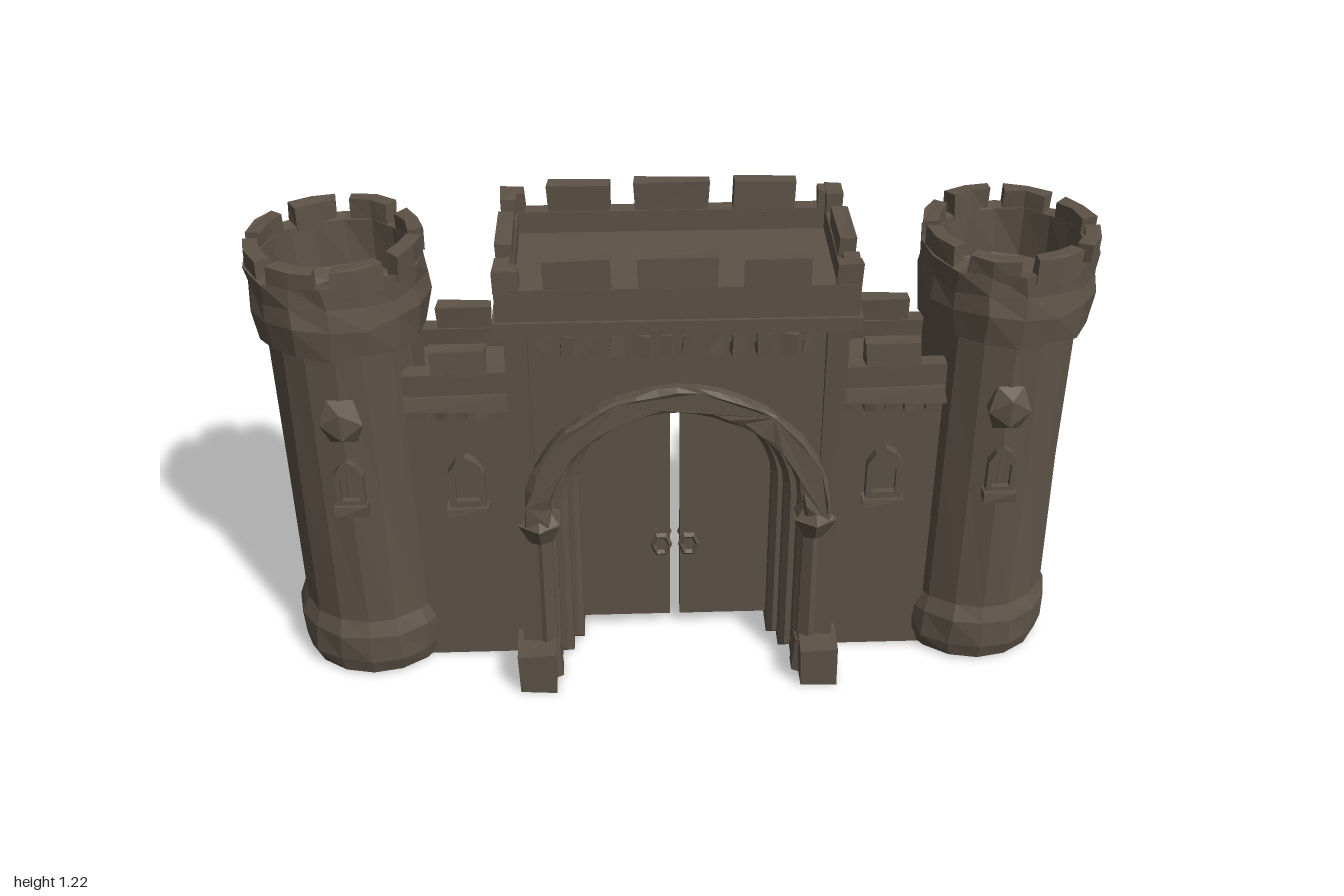
import * as THREE from 'three';

const stone = new THREE.MeshStandardMaterial({ color: 0x5d5247 });
stone.name = 'weathered stone';

// Repeatable noise from a position, so shared corners move together
const noise = (x, y, z, k) => {
  const v = Math.sin(Math.round(x * 500) * 12.9898 + Math.round(y * 500) * 78.233 + Math.round(z * 500) * 37.719 + k * 4.1) * 43758.5453;
  return (v - Math.floor(v)) * 2 - 1;
};
function chip(geo, amount, minY = -Infinity) {
  const p = geo.attributes.position;
  for (let i = 0; i < p.count; i++) {
    const [x, y, z] = [p.getX(i), p.getY(i), p.getZ(i)];
    if (y < minY) continue;
    p.setXYZ(i, x + amount * noise(x, y, z, 1), y + amount * noise(x, y, z, 2), z + amount * noise(x, y, z, 3));
  }
  return geo;
}

// Adds a faceted mesh
function add(parent, name, geo, x = 0, y = 0, z = 0) {
  const flat = geo.index ? geo.toNonIndexed() : geo;
  flat.computeVertexNormals();
  const mesh = new THREE.Mesh(flat, stone);
  mesh.name = name;
  mesh.position.set(x, y, z);
  parent.add(mesh);
  return mesh;
}

// Box given by its limits
function block(parent, name, x0, x1, y0, y1, z0, z1, rough = 0) {
  const geo = new THREE.BoxGeometry(x1 - x0, y1 - y0, z1 - z0);
  geo.translate((x0 + x1) / 2, (y0 + y1) / 2, (z0 + z1) / 2);
  return add(parent, name, rough ? chip(geo, rough) : geo);
}

// Extrusion centred on z = 0
function slab(shape, depth, bevel = 0) {
  const geo = new THREE.ExtrudeGeometry(shape, {
    depth, curveSegments: 12, bevelEnabled: bevel > 0, bevelSize: bevel, bevelThickness: bevel, bevelSegments: 1,
  });
  return geo.translate(0, 0, -depth / 2);
}

const SPRING = 0.5;
// Arch-shaped ring standing on y0
function archRing(rOut, rIn, y0) {
  const s = new THREE.Shape();
  s.moveTo(rOut, y0);
  s.lineTo(rOut, SPRING);
  s.absarc(0, SPRING, rOut, 0, Math.PI, false);
  s.lineTo(-rOut, y0);
  s.lineTo(-rIn, y0);
  s.lineTo(-rIn, SPRING);
  s.absarc(0, SPRING, rIn, Math.PI, 0, true);
  s.lineTo(rIn, y0);
  return s;
}

// Small pointed window with frame, pane and sill, facing +z
function addWindow(parent, w, h, x, y, z) {
  const g = new THREE.Group();
  g.name = 'window';
  const outline = (k, Type) => {
    const a = (w / 2) * k, b = (h / 2) * k;
    return new Type([[-a, -b], [a, -b], [a, b * 0.4], [a * 0.55, b * 0.8], [0, b], [-a * 0.55, b * 0.8], [-a, b * 0.4]]
      .map(([u, v]) => new THREE.Vector2(u, v)));
  };
  const frame = outline(1, THREE.Shape);
  frame.holes.push(outline(0.62, THREE.Path));
  add(g, 'windowFrame', slab(frame, 0.04));
  add(g, 'windowPane', slab(outline(0.7, THREE.Shape), 0.008));
  block(g, 'windowSill', -w * 0.58, w * 0.58, -h / 2 - 0.012, -h / 2 + 0.014, -0.02, 0.032, 0.003);
  g.position.set(x, y, z);
  parent.add(g);
}

function buildTower(side) {
  const g = new THREE.Group();
  g.name = side > 0 ? 'leftTower' : 'rightTower';
  // Hollow shaft with flared foot and overhanging head
  const profile = [
    [0.12, 0], [0.19, 0.005], [0.202, 0.05], [0.202, 0.125], [0.183, 0.17], [0.182, 0.56], [0.181, 0.955],
    [0.203, 0.955], [0.216, 1.035], [0.207, 1.085], [0.206, 1.14], [0.172, 1.14], [0.166, 1.02], [0.12, 1.0], [0.12, 0],
  ].map(([r, y]) => new THREE.Vector2(r, y));
  const body = chip(new THREE.LatheGeometry(profile, 16), 0.004, 0.02);
  add(g, 'towerBody', chip(body, 0.007, 0.93));
  // Curved merlons
  for (let i = 0; i < 8; i++) {
    const a0 = (i / 8) * Math.PI * 2 + 0.1, a1 = a0 + Math.PI / 4 - 0.2;
    const s = new THREE.Shape();
    for (let j = 0; j <= 2; j++) {
      const a = a0 + (a1 - a0) * j / 2;
      s[j ? 'lineTo' : 'moveTo'](0.206 * Math.cos(a), 0.206 * Math.sin(a));
    }
    for (let j = 2; j >= 0; j--) {
      const a = a0 + (a1 - a0) * j / 2;
      s.lineTo(0.171 * Math.cos(a), 0.171 * Math.sin(a));
    }
    const geo = new THREE.ExtrudeGeometry(s, { depth: 0.062 + 0.006 * noise(i, side, 3, 1), bevelEnabled: false });
    add(g, 'towerMerlon', chip(geo.rotateX(-Math.PI / 2), 0.003), 0, 1.122, 0);
  }
  // Boss and window on both faces
  for (const turn of [0, Math.PI]) {
    const face = new THREE.Group();
    face.name = turn ? 'towerBackDetails' : 'towerFrontDetails';
    face.rotation.y = turn;
    add(face, 'stoneBoss', new THREE.IcosahedronGeometry(0.06, 0).scale(1, 1.15, 0.65), 0, 0.78, 0.178);
    addWindow(face, 0.07, 0.14, 0, 0.605, 0.178);
    g.add(face);
  }
  g.position.x = side * 0.79;
  return g;
}

function buildWall(side) {
  const g = new THREE.Group();
  g.name = side > 0 ? 'leftWall' : 'rightWall';
  block(g, 'wallBody', -0.15, 0.13, 0, 0.82, -0.112, 0.112);
  for (const turn of [0, Math.PI]) {
    const face = new THREE.Group();
    face.name = 'wallFace';
    face.rotation.y = turn;
    block(face, 'wallCornice', -0.13, 0.13, 0.775, 0.815, 0.09, 0.142, 0.005);
    block(face, 'wallParapet', -0.13, 0.13, 0.8, 0.872, 0.088, 0.13, 0.003);
    block(face, 'wallMerlon', -0.065, 0.065, 0.865, 0.93, 0.09, 0.128, 0.004);
    for (let i = 0; i < 5; i++) {
      const x = -0.1 + i * 0.05;
      block(face, 'wallCorbel', x - 0.014, x + 0.014, 0.745, 0.785, 0.1, 0.13, 0.005);
    }
    addWindow(face, 0.09, 0.16, 0, 0.56, 0.118);
    g.add(face);
  }
  g.position.x = side * 0.515;
  return g;
}

function buildGatehouse() {
  const g = new THREE.Group();
  g.name = 'gatehouse';
  // Main block with the arched passage
  const wall = new THREE.Shape();
  wall.moveTo(0.385, 0);
  wall.lineTo(0.385, 1.04);
  wall.lineTo(-0.385, 1.04);
  wall.lineTo(-0.385, 0);
  wall.lineTo(-0.325, 0);
  wall.lineTo(-0.325, SPRING);
  wall.absarc(0, SPRING, 0.325, Math.PI, 0, true);
  wall.lineTo(0.325, 0);
  add(g, 'gatehouseBody', slab(wall, 0.39));
  // Stepped arch rings narrowing towards the doors
  [[0.345, 0.315, 0.34], [0.33, 0.285, 0.23], [0.31, 0.258, 0.12]].forEach(([o, i, d]) =>
    add(g, 'archRing', slab(archRing(o, i, 0.016), d, 0.015)));

  // Doors with pull handles
  for (const turn of [0, Math.PI]) {
    const leaf = new THREE.Shape();
    leaf.moveTo(0.013, 0.04);
    leaf.lineTo(0.25, 0.04);
    leaf.lineTo(0.25, SPRING);
    leaf.absarc(0, SPRING, 0.25, 0, Math.PI / 2 - 0.05, false);
    const door = add(g, 'door', slab(leaf, 0.04));
    door.rotation.y = turn;
    for (const z of [-0.028, 0.028]) {
      const handle = add(door, 'doorHandle', new THREE.TorusGeometry(0.022, 0.007, 4, 6), 0.036, 0.28, z);
      handle.scale.y = 1.4;
    }
  }

  // Details repeated on front and back
  for (const turn of [0, Math.PI]) {
    const face = new THREE.Group();
    face.name = turn ? 'gateBack' : 'gateFront';
    face.rotation.y = turn;
    add(face, 'archHood', chip(slab(archRing(0.368, 0.318, 0.48), 0.05, 0.008), 0.005), 0, 0, 0.195);
    for (const s of [-1, 1]) {
      add(face, 'archColumn', new THREE.CylinderGeometry(0.028, 0.032, 0.45, 6), s * 0.335, 0.225, 0.19);
      add(face, 'columnFoot', new THREE.CylinderGeometry(0.036, 0.044, 0.1, 6), s * 0.335, 0.05, 0.19);
      add(face, 'columnCapital', chip(new THREE.CylinderGeometry(0.06, 0.032, 0.06, 6), 0.004), s * 0.338, 0.46, 0.19);
      add(face, 'capitalTop', new THREE.CylinderGeometry(0.035, 0.058, 0.03, 6), s * 0.338, 0.502, 0.19);
      block(face, 'cornerPilaster', s * 0.367 - 0.026, s * 0.367 + 0.026, 0.12, 1.03, 0.17, 0.211, 0.004);
      block(face, 'footBlock', s * 0.36 - 0.048, s * 0.36 + 0.048, 0, 0.12, 0.17, 0.278, 0.003);
    }
    block(face, 'corbelBand', -0.34, 0.34, 0.995, 1.04, 0.18, 0.208);
    for (let i = 0; i < 12; i++) {
      const x = -0.308 + i * 0.056;
      block(face, 'corbel', x - 0.018, x + 0.018, 0.965, 1.02, 0.185, 0.217, 0.006);
    }
    [[-0.412, -0.355, 1.185], [-0.3, -0.15, 1.21], [-0.09, 0.09, 1.212], [0.15, 0.3, 1.21], [0.355, 0.412, 1.19]]
      .forEach(([a, b, top]) => block(face, 'merlon', a, b, 1.13, top, 0.178, 0.215, 0.003));
    g.add(face);
  }

  // Roof floor, cornice and parapet ring
  block(g, 'roofFloor', -0.38, 0.38, 1.02, 1.085, -0.185, 0.185);
  const ring = (hx, hz, t, y, h, name) => {
    const rect = (a, b, Type) => new Type([[-a, -b], [a, -b], [a, b], [-a, b]].map(([u, v]) => new THREE.Vector2(u, v)));
    const s = rect(hx, hz, THREE.Shape);
    s.holes.push(rect(hx - t, hz - t, THREE.Path));
    const geo = new THREE.ExtrudeGeometry(s, { depth: h, bevelEnabled: false });
    add(g, name, geo.rotateX(-Math.PI / 2), 0, y, 0);
  };
  ring(0.42, 0.224, 0.06, 1.025, 0.035, 'roofCornice');
  ring(0.412, 0.216, 0.04, 1.05, 0.09, 'roofParapet');
  for (const s of [-1, 1]) {
    for (const [a, b] of [[-0.212, -0.15], [-0.085, 0.085], [0.15, 0.212]]) {
      block(g, 'sideMerlon', s * 0.393 - 0.019, s * 0.393 + 0.019, 1.13, 1.19, a, b, 0.003);
    }
  }
  return g;
}

export function createModel() {
  const model = new THREE.Group();
  model.name = 'castleGate';
  const castle = new THREE.Group();
  castle.name = 'castle';
  castle.position.z = 0.008;
  castle.add(buildGatehouse());
  for (const side of [-1, 1]) castle.add(buildTower(side), buildWall(side));
  model.add(castle);
  return model;
}
